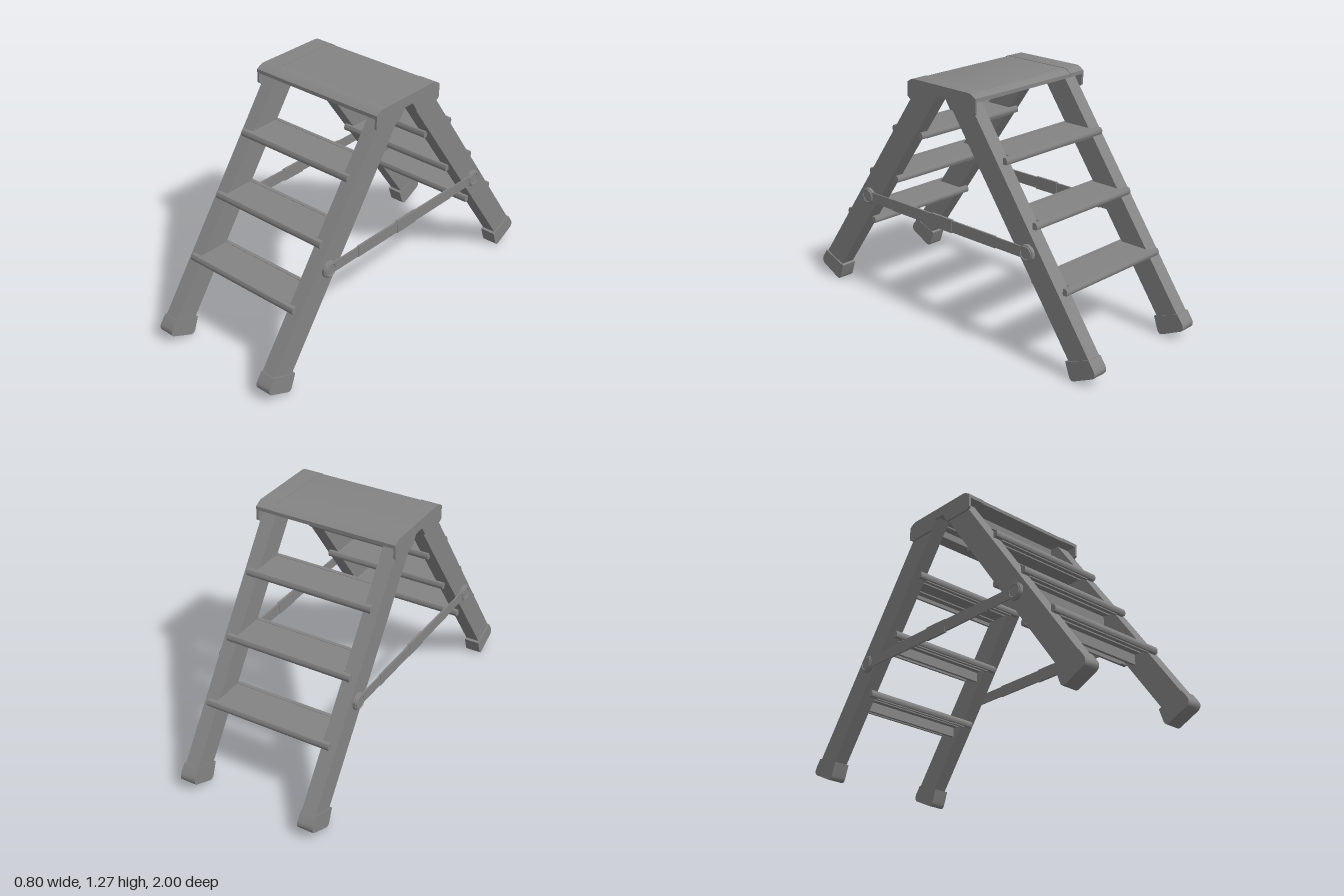
import * as THREE from 'three';
import { toCreasedNormals } from 'three/addons/utils/BufferGeometryUtils.js';

const material = new THREE.MeshStandardMaterial({ color: 0x848484 });

function mesh(name, geometry, x = 0, y = 0, z = 0) {
  const m = new THREE.Mesh(geometry, material);
  m.name = name;
  m.position.set(x, y, z);
  return m;
}

// Side profile of [z, y] points extruded along x, centred on x = 0
function profile(points, width) {
  const shape = new THREE.Shape(points.map(([z, y]) => new THREE.Vector2(z, y)));
  const g = new THREE.ExtrudeGeometry(shape, { depth: width, bevelEnabled: false });
  return toCreasedNormals(g.translate(0, 0, -width / 2).rotateY(-Math.PI / 2), 0.7);
}

const box = (w, h, d) => new THREE.BoxGeometry(w, h, d);

// Tread: ribbed board between the rails with a wider lip at each edge
function makeStep(i) {
  const step = new THREE.Group();
  step.name = 'step';
  step.position.set(0, 0.434 + i * 0.277, 0.681 - i * 0.194);
  step.add(mesh('tread', box(0.61, 0.018, 0.2), 0, -0.011, 0));
  const lip = [[0.108, -0.034], [0.113, -0.024], [0.113, -0.014], [0.106, 0], [0.086, 0], [0.086, -0.034]];
  for (const s of [1, -1]) {
    step.add(mesh('stepLip', profile(lip.map(([z, y]) => [z * s, y]), 0.704)));
    step.add(mesh('stepLipFlange', box(0.61, 0.012, 0.012), 0, -0.034, s * 0.092));
  }
  for (const z of [-0.045, 0.045]) {
    step.add(mesh('stepRib', box(0.61, 0.008, 0.008), 0, -0.023, z));
  }
  // Stiffener under the two lower treads
  if (i < 2) step.add(mesh('stepBeam', box(0.616, 0.056, 0.016), 0, -0.045, 0));
  return step;
}

// One leaning frame: two rails, two feet, three steps
function makeLadder(name) {
  const ladder = new THREE.Group();
  ladder.name = name;
  const rail = profile([[0.97, 0.12], [0.181, 1.232], [0.022, 1.232], [0.85, 0.072]], 0.077);
  // Rubber foot with softened sole corners
  const foot = profile([[0.962, 0.141], [0.993, 0.098], [0.999, 0.084], [0.998, 0.068], [0.989, 0.056],
    [0.874, 0.002], [0.861, 0], [0.85, 0.008], [0.845, 0.018], [0.82, 0.088]], 0.086);
  for (const s of [1, -1]) {
    ladder.add(mesh('rail', rail, s * 0.342));
    ladder.add(mesh('foot', foot, s * 0.344));
  }
  for (let i = 0; i < 3; i++) ladder.add(makeStep(i));
  // Crosspiece tying the rails under the platform
  ladder.add(mesh('topCrosspiece', box(0.616, 0.045, 0.02), 0, 1.217, 0.12));
  return ladder;
}

// Platform: thin deck, end caps and hanging cheek plates
function makePlatform() {
  const platform = new THREE.Group();
  platform.name = 'platform';
  // Top edge with softened corners, from front to back
  const edge = [[0.238, 1.253], [0.21, 1.27], [0.192, 1.274], [-0.192, 1.274], [-0.21, 1.27], [-0.238, 1.253]];
  const slab = [[-0.238, 1.234], [0.238, 1.234], ...edge];
  const deck = slab.map(([z, y]) => [z * 0.992, y - 0.002]);
  const cheek = [[-0.238, 1.18], [-0.222, 1.168], [-0.066, 1.168], [-0.03, 1.22], [0.03, 1.22],
    [0.066, 1.168], [0.222, 1.168], [0.238, 1.18], ...edge];
  platform.add(mesh('deck', profile(deck, 0.6)));
  for (const s of [1, -1]) {
    platform.add(mesh('endCap', profile(slab, 0.092), s * 0.339));
    platform.add(mesh('cheekPlate', profile(cheek, 0.012), s * 0.386));
    platform.add(mesh('deckRib', box(0.6, 0.01, 0.008), 0, 1.229, s * 0.06));
  }
  return platform;
}

// Folding spreader bar with a centre sleeve and round pivots
function makeSpreader(side) {
  const spreader = new THREE.Group();
  spreader.name = side > 0 ? 'leftSpreader' : 'rightSpreader';
  spreader.position.set(side * 0.392, 0.567, 0);
  spreader.add(mesh('spreaderBar', box(0.007, 0.056, 1.14)));
  spreader.add(mesh('middleBar', box(0.01, 0.062, 0.74)));
  spreader.add(mesh('centreSleeve', box(0.013, 0.07, 0.145)));
  // Stepped disc with a raised rim, turned about the x axis
  const turned = [[0, -0.014], [0.044, -0.014], [0.044, 0.002], [0.041, 0.005], [0.037, 0.005],
    [0.037, 0.008], [0.035, 0.01], [0.031, 0.01], [0.029, 0.007], [0, 0.007]];
  const disc = new THREE.LatheGeometry(turned.map(([r, h]) => new THREE.Vector2(r, h)), 32);
  const pivot = toCreasedNormals(disc.rotateZ(-side * Math.PI / 2), 0.6);
  for (const z of [-0.571, 0.571]) spreader.add(mesh('pivot', pivot, 0, 0, z));
  return spreader;
}

export function createModel() {
  const model = new THREE.Group();
  model.name = 'stepladder';
  const back = makeLadder('backLadder');
  back.rotation.y = Math.PI;
  model.add(makeLadder('frontLadder'), back, makePlatform(), makeSpreader(1), makeSpreader(-1));
  return model;
}
